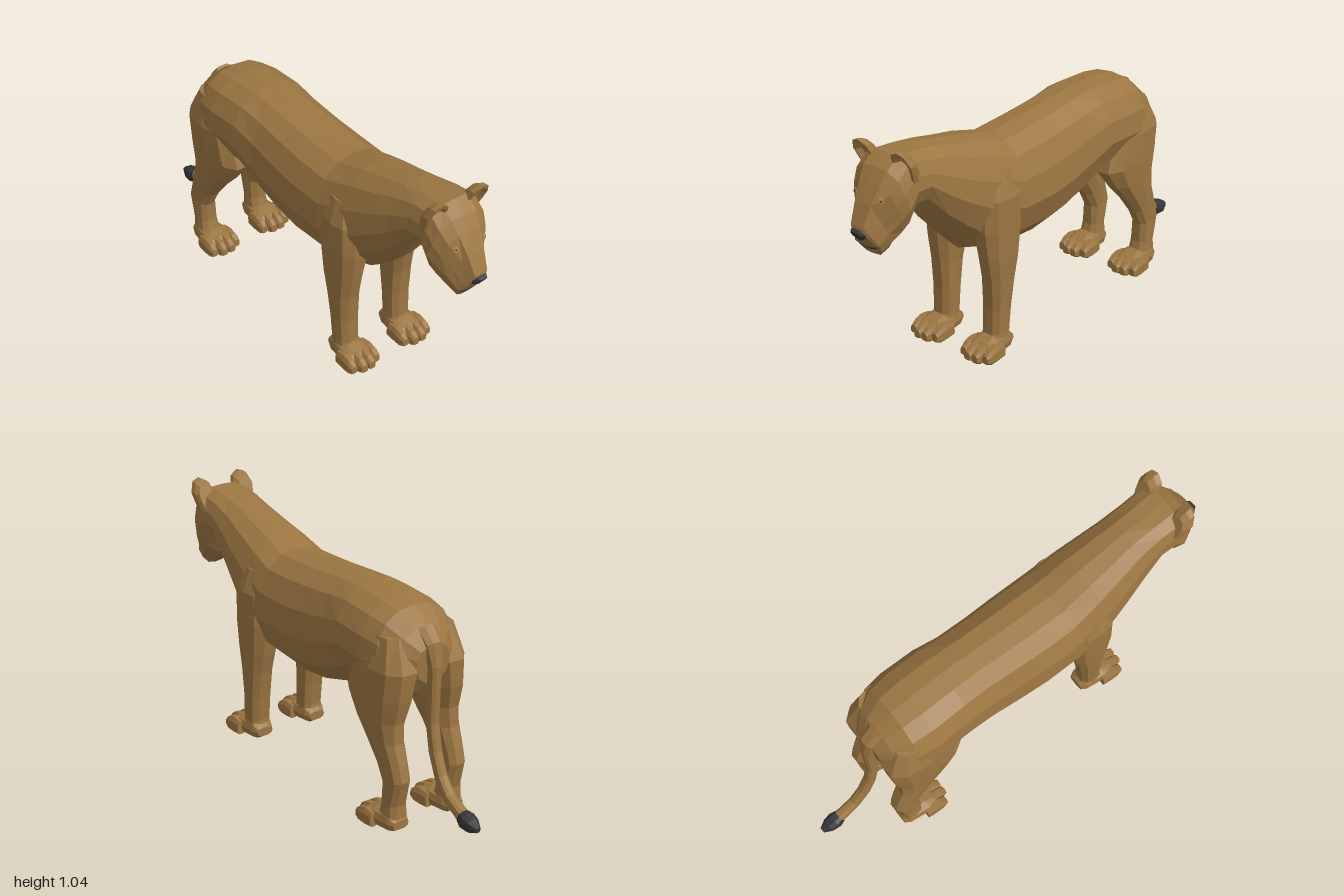
import * as THREE from 'three';

const mat = (name, color) => {
  const m = new THREE.MeshStandardMaterial({ color, flatShading: true });
  m.name = name;
  return m;
};

// Half outlines from top to bottom: [share of half width, share of height]
const TORSO = [[0, 1], [0.4, 0.975], [0.74, 0.87], [0.95, 0.68], [1, 0.45], [0.78, 0.21], [0.36, 0.05], [0, 0]];
const SKULL = [[0, 1], [0.45, 0.99], [0.8, 0.87], [0.96, 0.65], [1, 0.42], [0.78, 0.16], [0.4, 0.02], [0, 0]];
const MUZZLE = [[0, 1], [0.48, 1], [0.62, 0.85], [0.85, 0.62], [1, 0.42], [0.88, 0.2], [0.55, 0.03], [0, 0]];
const LIMB = [[0.4, 1], [0.88, 0.83], [1, 0.5], [0.88, 0.17], [0.4, 0]];
const TOE = [[0.5, 1], [1, 0.7], [1, 0.15], [0.6, 0]];

// Closed ring spanned between two [z, y] points, mirrored about x = cx
function ring(a, b, w, profile, cx = 0) {
  const at = ([px, t], s) => new THREE.Vector3(cx + s * px * w, b[1] + (a[1] - b[1]) * t, b[0] + (a[0] - b[0]) * t);
  const left = profile.map((p) => at(p, 1));
  const right = profile.filter((p) => p[0] > 0).map((p) => at(p, -1)).reverse();
  return [...left, ...right];
}

// Skin between rings of equal count, with a fan cap at both ends
function loft(rings) {
  const n = rings[0].length, pts = rings.flat(), idx = [];
  for (let r = 0; r < rings.length - 1; r++) {
    for (let i = 0; i < n; i++) {
      const j = (i + 1) % n, a = r * n + i, b = r * n + j;
      idx.push(a, b, a + n, b, b + n, a + n);
    }
  }
  [0, rings.length - 1].forEach((r) => {
    const c = pts.length;
    pts.push(rings[r].reduce((s, p) => s.add(p), new THREE.Vector3()).divideScalar(n));
    for (let i = 0; i < n; i++) {
      const a = r * n + i, b = r * n + (i + 1) % n;
      if (r) idx.push(a, b, c); else idx.push(b, a, c);
    }
  });
  // Turn the faces outward
  let volume = 0;
  const cross = new THREE.Vector3();
  for (let i = 0; i < idx.length; i += 3) {
    volume += pts[idx[i]].dot(cross.crossVectors(pts[idx[i + 1]], pts[idx[i + 2]]));
  }
  if (volume < 0) idx.reverse();
  const g = new THREE.BufferGeometry().setFromPoints(pts);
  g.setIndex(idx);
  const flat = g.toNonIndexed();
  flat.computeVertexNormals();
  return flat;
}

// Rings square to a path of [z, y, radius]
function pathRings(path) {
  return path.map(([z, y, r], i) => {
    const p = path[Math.max(i - 1, 0)], q = path[Math.min(i + 1, path.length - 1)];
    const dz = q[0] - p[0], dy = q[1] - p[1], l = Math.hypot(dz, dy);
    const nz = (-dy / l) * r, ny = (dz / l) * r;
    return ring([z + nz, y + ny], [z - nz, y - ny], r, LIMB);
  });
}

export function createModel() {
  const model = new THREE.Group();
  const fur = mat('tan fur', 0x9c7642);
  const dark = mat('charcoal', 0x35353a);
  const amber = mat('amber eye', 0xb08a4e);
  const add = (name, geometry, material, parent = model) => {
    const m = new THREE.Mesh(geometry, material);
    m.name = name;
    parent.add(m);
    return m;
  };

  // Torso, neck and head as one skin: [top, bottom, half width, outline]
  const body = add('body', loft([
    [[-0.7, 0.79], [-0.69, 0.62], 0.08, TORSO],
    [[-0.65, 0.855], [-0.65, 0.56], 0.145, TORSO],
    [[-0.57, 0.91], [-0.59, 0.53], 0.19, TORSO],
    [[-0.48, 0.925], [-0.49, 0.52], 0.203, TORSO],
    [[-0.32, 0.932], [-0.34, 0.52], 0.2, TORSO],
    [[-0.2, 0.925], [-0.22, 0.445], 0.192, TORSO],
    [[-0.05, 0.91], [-0.08, 0.4], 0.197, TORSO],
    [[0.08, 0.9], [0.05, 0.385], 0.203, TORSO],
    [[0.23, 0.892], [0.25, 0.395], 0.203, TORSO],
    [[0.37, 0.935], [0.43, 0.45], 0.187, TORSO],
    [[0.5, 0.962], [0.52, 0.535], 0.167, TORSO],
    [[0.61, 0.988], [0.6, 0.62], 0.148, TORSO],
    [[0.72, 0.998], [0.7, 0.765], 0.133, SKULL],
    [[0.82, 1.008], [0.76, 0.768], 0.136, SKULL],
    [[0.877, 0.965], [0.8, 0.7], 0.136, SKULL],
    [[0.91, 0.915], [0.825, 0.67], 0.118, SKULL],
    [[0.95, 0.84], [0.865, 0.632], 0.085, MUZZLE],
    [[0.985, 0.76], [0.9, 0.613], 0.066, MUZZLE],
    [[0.988, 0.745], [0.912, 0.62], 0.052, MUZZLE],
  ].map((r) => ring(...r))), fur);

  // Nose pad
  const noseOutline = (z, k) => [[-0.022, 0.748], [0.022, 0.748], [0.035, 0.728], [0.03, 0.712], [0, 0.69], [-0.03, 0.712], [-0.035, 0.728]]
    .map(([x, y]) => new THREE.Vector3(x * k, 0.72 + (y - 0.72) * k, z + (y - 0.72) * 0.5));
  add('nose', loft([noseOutline(0.945, 1), noseOutline(0.978, 1), noseOutline(0.99, 0.75)]), dark);

  // Face details laid onto the skin
  const ray = new THREE.Raycaster();
  const onFace = (x, y) => {
    ray.set(new THREE.Vector3(x, y, 2), new THREE.Vector3(0, 0, -1));
    const hit = ray.intersectObject(body)[0];
    return { point: hit.point, normal: hit.face.normal };
  };
  const lip = [-0.058, -0.04, -0.02, 0, 0.02, 0.04, 0.058]
    .map((x) => onFace(x, 0.652 + 6 * x * x).point);
  add('mouth', new THREE.TubeGeometry(new THREE.CatmullRomCurve3(lip), 16, 0.004, 5), dark);
  for (const s of [-1, 1]) {
    const { point, normal } = onFace(s * 0.07, 0.86);
    const eye = new THREE.Group();
    eye.name = s > 0 ? 'leftEye' : 'rightEye';
    eye.position.copy(point);
    eye.lookAt(point.clone().add(normal));
    add('iris', new THREE.CylinderGeometry(0.011, 0.013, 0.006, 8).rotateX(Math.PI / 2), amber, eye);
    add('pupil', new THREE.CylinderGeometry(0.004, 0.004, 0.009, 6).rotateX(Math.PI / 2), dark, eye);
    model.add(eye);
  }

  // Cupped ears
  const earOutline = [[0.05, 0.985], [0.064, 1.025], [0.1, 1.045], [0.132, 1.033], [0.15, 0.99], [0.143, 0.95], [0.13, 0.9], [0.095, 0.95]];
  const earRing = (s, k, dz) => earOutline.map(([x, y]) => {
    const px = 0.105 + (x - 0.105) * k, py = 0.98 + (y - 0.98) * k;
    return new THREE.Vector3(s * px, py, 0.825 + (py - 0.98) * 0.45 + dz);
  });
  for (const s of [-1, 1]) {
    add(s > 0 ? 'leftEar' : 'rightEar',
      loft([earRing(s, 0.7, -0.035), earRing(s, 0.97, -0.012), earRing(s, 1, 0.012), earRing(s, 0.76, 0.014), earRing(s, 0.5, -0.012)]), fur);
  }

  // Legs: [front, back, half width, centre x]
  const frontLeg = [
    [[0.4, 0.8], [0.27, 0.8], 0.07, 0.105],
    [[0.44, 0.7], [0.24, 0.7], 0.09, 0.118],
    [[0.445, 0.56], [0.235, 0.56], 0.077, 0.13],
    [[0.43, 0.44], [0.255, 0.42], 0.064, 0.138],
    [[0.41, 0.33], [0.28, 0.33], 0.057, 0.14],
    [[0.402, 0.2], [0.3, 0.2], 0.052, 0.138],
    [[0.405, 0.09], [0.31, 0.09], 0.05, 0.137],
    [[0.42, 0.05], [0.305, 0.05], 0.052, 0.138],
  ];
  const hindLeg = [
    [[-0.48, 0.82], [-0.64, 0.82], 0.07, 0.1],
    [[-0.4, 0.68], [-0.7, 0.69], 0.088, 0.115],
    [[-0.355, 0.54], [-0.69, 0.57], 0.076, 0.127],
    [[-0.42, 0.45], [-0.665, 0.47], 0.062, 0.135],
    [[-0.49, 0.375], [-0.67, 0.385], 0.053, 0.138],
    [[-0.56, 0.285], [-0.7, 0.295], 0.046, 0.138],
    [[-0.6, 0.21], [-0.715, 0.235], 0.044, 0.138],
    [[-0.6, 0.12], [-0.685, 0.12], 0.045, 0.138],
    [[-0.58, 0.05], [-0.69, 0.05], 0.05, 0.138],
  ];
  // Paw: [z, top, bottom, half width]
  const paw = [[0.293, 0.06, 0.02, 0.038], [0.32, 0.085, 0.003, 0.052], [0.41, 0.086, 0, 0.064], [0.455, 0.072, 0, 0.074], [0.475, 0.05, 0.008, 0.07]];
  const toe = [[0.41, 0.066, 0.004, 0.018], [0.455, 0.073, 0, 0.021], [0.49, 0.064, 0, 0.021], [0.515, 0.045, 0.01, 0.015]];

  for (const s of [-1, 1]) {
    for (const [name, leg, shift] of [['front', frontLeg, 0], ['hind', hindLeg, -0.985]]) {
      const limb = new THREE.Group();
      limb.name = (s > 0 ? 'left ' : 'right ') + name + ' limb';
      const foot = (list, cx, dz, profile) => loft(list.map(([z, t, b, w]) =>
        ring([z + shift + dz, t], [z + shift + dz, b], w, profile, s * cx)));
      add(name + 'Leg', loft(leg.map(([a, b, w, cx]) => ring(a, b, w, LIMB, s * cx))), fur, limb);
      add(name + 'Paw', foot(paw, 0.138, 0, LIMB), fur, limb);
      [-0.059, -0.02, 0.02, 0.059].forEach((x) =>
        add(name + 'Toe', foot(toe, 0.139 + x, Math.abs(x) > 0.04 ? -0.018 : 0.003, TOE), fur, limb));
      model.add(limb);
    }
  }

  // Tail with dark tuft
  add('tail', loft(pathRings([
    [-0.63, 0.82, 0.05], [-0.68, 0.78, 0.042], [-0.705, 0.7, 0.028], [-0.705, 0.58, 0.024], [-0.702, 0.46, 0.024],
    [-0.725, 0.34, 0.024], [-0.765, 0.245, 0.024], [-0.82, 0.178, 0.024], [-0.915, 0.13, 0.026],
  ])), fur);
  add('tailTuft', loft(pathRings([
    [-0.905, 0.135, 0.028], [-0.93, 0.126, 0.035], [-0.965, 0.119, 0.03], [-1, 0.115, 0.012],
  ])), dark);

  return model;
}
